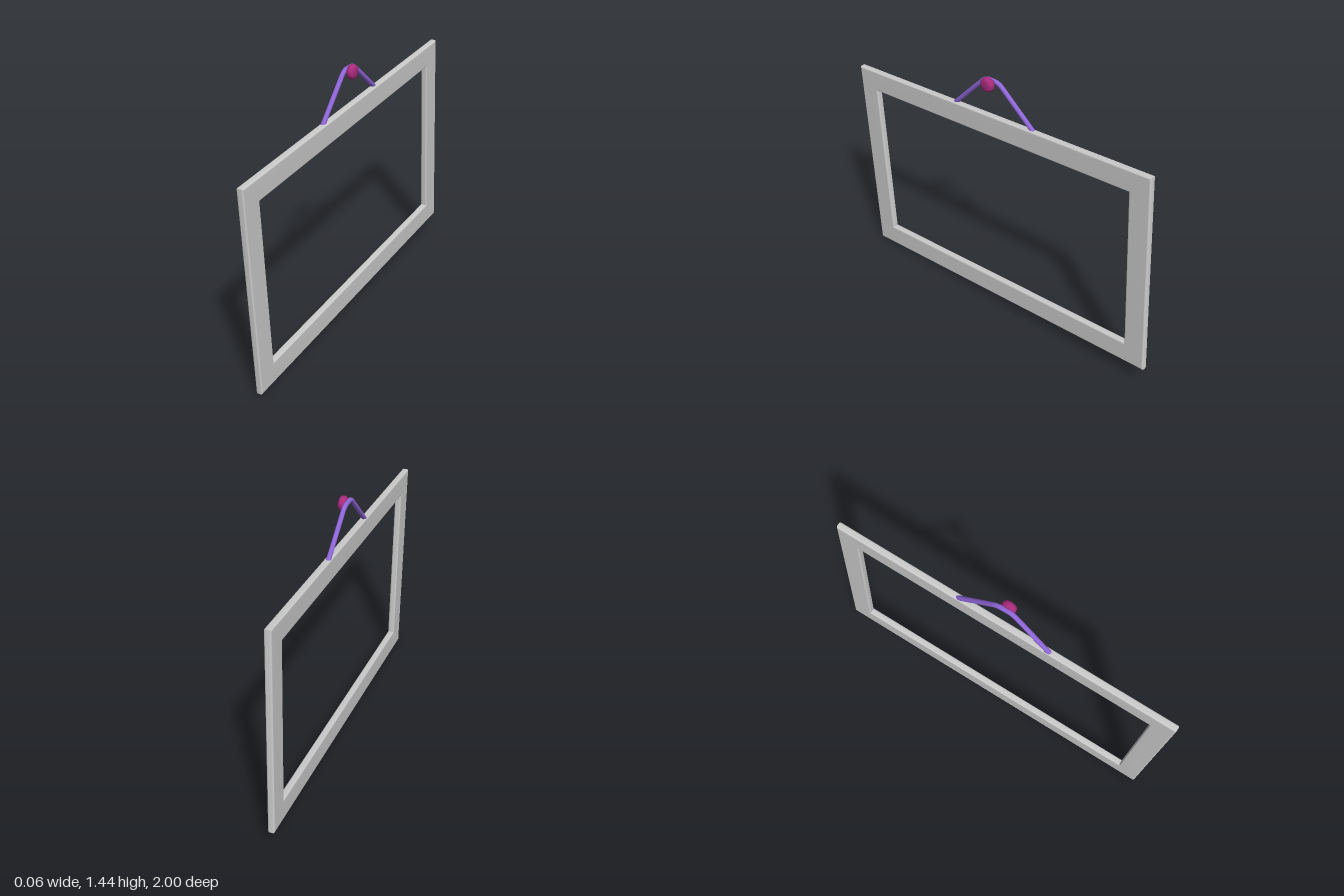
import * as THREE from 'three';

const WIDTH = 1.933, HEIGHT = 1.16, BORDER = 0.12, DEPTH = 0.037, TILT = 0.0594;
const material = (color) => new THREE.MeshStandardMaterial({ color });

// Rounded bar section: [distance inward from the outer edge, x]
function barSection(radius = 0.009, steps = 4) {
  const h = DEPTH / 2 - radius;
  const centres = [[radius, h], [BORDER - radius, h], [BORDER - radius, -h], [radius, -h]];
  const points = [];
  centres.forEach(([d, x], corner) => {
    for (let i = 0; i <= steps; i++) {
      const a = Math.PI - (corner + i / steps) * Math.PI / 2;
      points.push([d + radius * Math.cos(a), x + radius * Math.sin(a)]);
    }
  });
  return points;
}

// One mitred bar running between two corners given as [z sign, y sign]
function mitredBar(from, to, section) {
  const positions = [], index = [], n = section.length;
  for (const [sz, sy] of [from, to]) {
    for (const [d, x] of section) {
      positions.push(x, sy * (HEIGHT / 2 - d), sz * (WIDTH / 2 - d));
    }
  }
  for (let i = 0; i < n; i++) {
    const j = (i + 1) % n;
    index.push(i, i + n, j + n, i, j + n, j);
  }
  const geometry = new THREE.BufferGeometry();
  geometry.setAttribute('position', new THREE.Float32BufferAttribute(positions, 3));
  geometry.setIndex(index);
  geometry.computeVertexNormals();
  return geometry;
}

export function createModel() {
  const model = new THREE.Group();
  model.name = 'hangingFrame';

  // Tilted rectangular frame of four mitred bars
  const frame = new THREE.Group();
  frame.name = 'frame';
  const grey = material(0xcccccc);
  const section = barSection();
  const corners = [[1, -1], [-1, -1], [-1, 1], [1, 1]];
  ['bottomBar', 'backBar', 'topBar', 'frontBar'].forEach((name, i) => {
    const bar = new THREE.Mesh(mitredBar(corners[i], corners[(i + 1) % 4], section), grey);
    bar.name = name;
    frame.add(bar);
  });
  frame.position.set(-0.015, 0.637, 0);
  frame.rotation.x = TILT;
  model.add(frame);

  // Cord rising from the top bar and bending over the pin
  const p = (y, z) => new THREE.Vector3(-0.018, y, z);
  const path = new THREE.CurvePath();
  path.add(new THREE.LineCurve3(p(1.19, 0.295), p(1.385, 0.108)));
  path.add(new THREE.QuadraticBezierCurve3(p(1.385, 0.108), p(1.411, 0.083), p(1.411, 0.06)));
  path.add(new THREE.LineCurve3(p(1.411, 0.06), p(1.411, 0.02)));
  path.add(new THREE.QuadraticBezierCurve3(p(1.411, 0.02), p(1.411, -0.003), p(1.392, -0.026)));
  path.add(new THREE.LineCurve3(p(1.392, -0.026), p(1.215, -0.238)));
  const cord = new THREE.Mesh(new THREE.TubeGeometry(path, 80, 0.0125, 12), material(0x8f66d8));
  cord.name = 'cord';
  model.add(cord);

  // Round pin head facing +x
  const profile = [[0, -0.012], [0.022, -0.012], [0.032, -0.008], [0.038, 0.001], [0.039, 0.01],
    [0.037, 0.019], [0.031, 0.026], [0.021, 0.03], [0, 0.031]];
  const pin = new THREE.Mesh(
    new THREE.LatheGeometry(profile.map(([r, h]) => new THREE.Vector2(r, h)), 32),
    material(0xaa2b7d));
  pin.name = 'pinHead';
  pin.rotation.z = -Math.PI / 2;
  pin.position.set(0, 1.398, 0.047);
  model.add(pin);

  return model;
}
